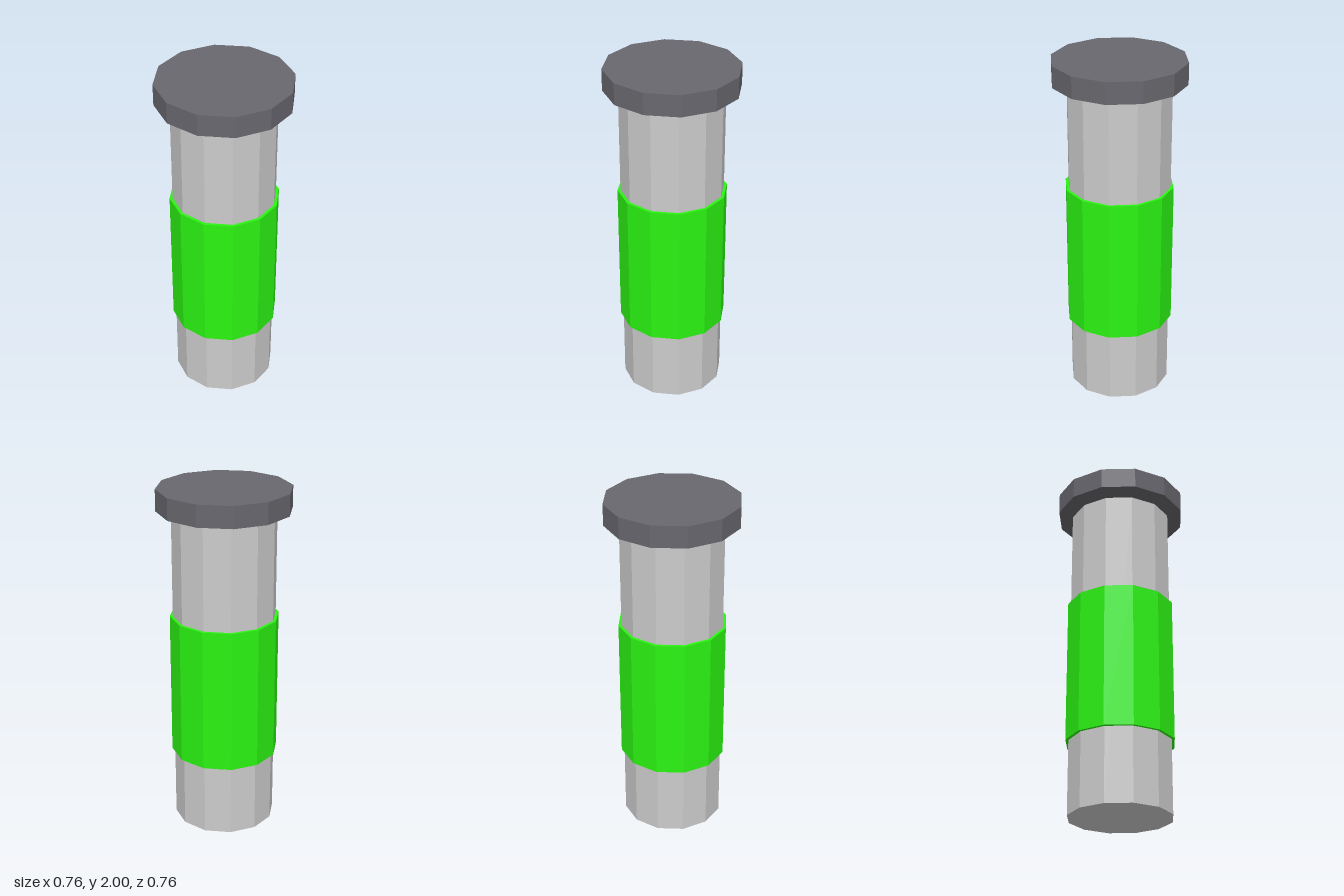
import * as THREE from 'three';

const SIDES = 12;

// Upright faceted cylinder spanning two heights
function drum(name, radius, bottom, top, color) {
  const geometry = new THREE.CylinderGeometry(radius, radius, top - bottom, SIDES);
  const material = new THREE.MeshStandardMaterial({ color, flatShading: true });
  const mesh = new THREE.Mesh(geometry, material);
  mesh.name = name;
  mesh.position.y = (bottom + top) / 2;
  return mesh;
}

export function createModel() {
  const model = new THREE.Group();
  model.name = 'cappedCanister';
  model.add(
    drum('body', 0.294, 0, 1.855, 0xcccccc),
    drum('labelBand', 0.311, 0.426, 1.265, 0x2bf412),
    // The cap floats just above the body
    drum('cap', 0.378, 1.877, 2, 0x68676e),
  );
  return model;
}
